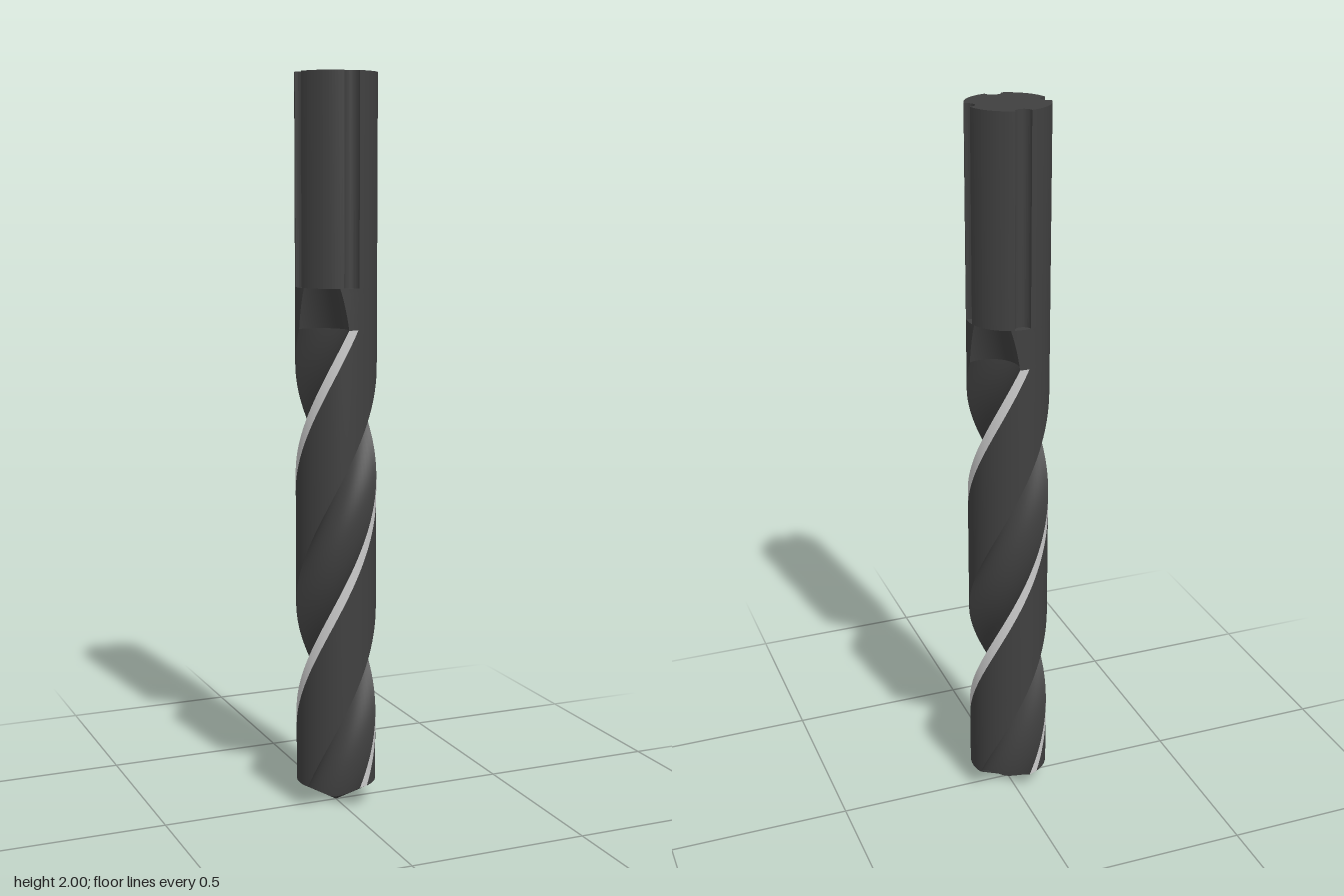
import * as THREE from 'three';

const RAD = 0.11;         // drill radius
const TIP = 0.065;        // height of the cone point
const FLUTE_TOP = 1.33;   // where the helix stops
const NECK_TOP = 1.44;    // where the shank starts
const TWIST = 270;        // helix, degrees per unit of height
const FLUTE_R = 0.075;    // radius of the flute's round section
const DEG = Math.PI / 180;

const dark = new THREE.MeshStandardMaterial({ color: 0x404040 });
const light = new THREE.MeshStandardMaterial({ color: 0xcccccc });

const fluteAngle = (y) => (-45 + TWIST * (Math.min(y, FLUTE_TOP) - FLUTE_TOP)) * DEG;
// distance of the flute circle's centre from the axis; it runs out above the helix
const fluteDist = (y) =>
  0.105 + 0.046 * Math.max(0, (y - FLUTE_TOP) / (NECK_TOP - FLUTE_TOP));
const mouthHalf = (d) => Math.acos((RAD * RAD + d * d - FLUTE_R * FLUTE_R) / (2 * RAD * d));

// Section pieces: t in 0..1 -> [radius, angle from the flute's centre line]
const pieces = {
  flute: {
    n: 20,
    at(t, d) {
      const a = mouthHalf(d);
      const b = Math.atan2(RAD * Math.sin(a), d - RAD * Math.cos(a)) * (2 * t - 1);
      const u = d - FLUTE_R * Math.cos(b), v = FLUTE_R * Math.sin(b);
      return [Math.hypot(u, v), Math.atan2(v, u)];
    },
  },
  margin: {
    n: 4,
    at: (t, d) => [RAD, mouthHalf(d) + 14 * DEG * t],
  },
  land: {
    n: 20,
    at(t, d) {
      const a = mouthHalf(d);
      return [RAD, THREE.MathUtils.lerp(a + 14 * DEG, Math.PI - a, t)];
    },
  },
};

function sectionPoint(piece, t, y, half) {
  const [r, a] = piece.at(t, fluteDist(y));
  const phi = a + fluteAngle(y) + half * Math.PI;
  return [r * Math.sin(phi), y, r * Math.cos(phi)];
}

// Height of the cone point below a section point
const coneY = (piece, t) => TIP * piece.at(t, fluteDist(0))[0] / RAD;

function meshFrom(name, pos, index, material) {
  const g = new THREE.BufferGeometry();
  g.setAttribute('position', new THREE.Float32BufferAttribute(pos, 3));
  g.setIndex(index);
  g.computeVertexNormals();
  const m = new THREE.Mesh(g, material);
  m.name = name;
  return m;
}

// Wall swept upwards along one section piece
function sweep(name, piece, half, bottom, top, rows, material) {
  const pos = [], index = [], w = piece.n + 1;
  for (let i = 0; i <= rows; i++) {
    for (let j = 0; j < w; j++) {
      const t = j / piece.n;
      const y = THREE.MathUtils.lerp(bottom(piece, t), top, i / rows);
      pos.push(...sectionPoint(piece, t, y, half));
      if (i < rows && j < piece.n) {
        const a = i * w + j;
        index.push(a, a + 1, a + w, a + 1, a + w + 1, a + w);
      }
    }
  }
  return meshFrom(name, pos, index, material);
}

// Fan over the whole section, either the cone point or the flat neck top
function fan(name, centreY, heightAt, up) {
  const pos = [0, centreY, 0], index = [];
  for (const half of [0, 1])
    for (const piece of Object.values(pieces))
      for (let j = 0; j < piece.n; j++) {
        const t = j / piece.n;
        pos.push(...sectionPoint(piece, t, heightAt(piece, t), half));
      }
  const n = pos.length / 3 - 1;
  for (let j = 0; j < n; j++) {
    const a = 1 + j, b = 1 + (j + 1) % n;
    index.push(0, ...(up ? [a, b] : [b, a]));
  }
  return meshFrom(name, pos, index, dark);
}

// Straight shank with four round coolant slots
function makeShank() {
  const slot = 0.022, s = new THREE.Shape();
  const gap = 2 * Math.asin(slot / (2 * RAD));      // half angle a slot takes
  const bite = Math.PI / 2 + gap / 2;               // half sweep of the slot's arc
  for (let k = 0; k < 4; k++) {
    const a = k * Math.PI / 2;
    const cx = RAD * Math.cos(a), cy = RAD * Math.sin(a);
    // slot, from its lower lip through the inside to its upper lip
    const start = a - bite, sweepAngle = 2 * (Math.PI - bite);
    for (let i = 0; i <= 14; i++) {
      const b = start - sweepAngle * i / 14;
      const x = cx + slot * Math.cos(b), y = cy + slot * Math.sin(b);
      if (k === 0 && i === 0) s.moveTo(x, y); else s.lineTo(x, y);
    }
    for (let i = 1; i < 16; i++) {
      const b = a + gap + (Math.PI / 2 - 2 * gap) * i / 16;
      s.lineTo(RAD * Math.cos(b), RAD * Math.sin(b));
    }
  }
  s.closePath();
  const g = new THREE.ExtrudeGeometry(s, { depth: 2 - NECK_TOP, bevelEnabled: false });
  g.rotateX(-Math.PI / 2);
  g.translate(0, NECK_TOP, 0);
  const m = new THREE.Mesh(g, dark);
  m.name = 'shank';
  return m;
}

export function createModel() {
  const drill = new THREE.Group();
  drill.name = 'drillBit';
  for (const half of [0, 1]) {
    for (const [key, piece] of Object.entries(pieces)) {
      // twisted cutting body
      drill.add(sweep(key, piece, half, coneY, FLUTE_TOP, 90, key === 'margin' ? light : dark));
      // straight run-out below the shank
      drill.add(sweep(key + 'RunOut', piece, half, () => FLUTE_TOP, NECK_TOP, 6, dark));
    }
  }
  drill.add(fan('conePoint', 0, coneY, false));
  drill.add(fan('neckTop', NECK_TOP, () => NECK_TOP, true));
  drill.add(makeShank());
  return drill;
}
